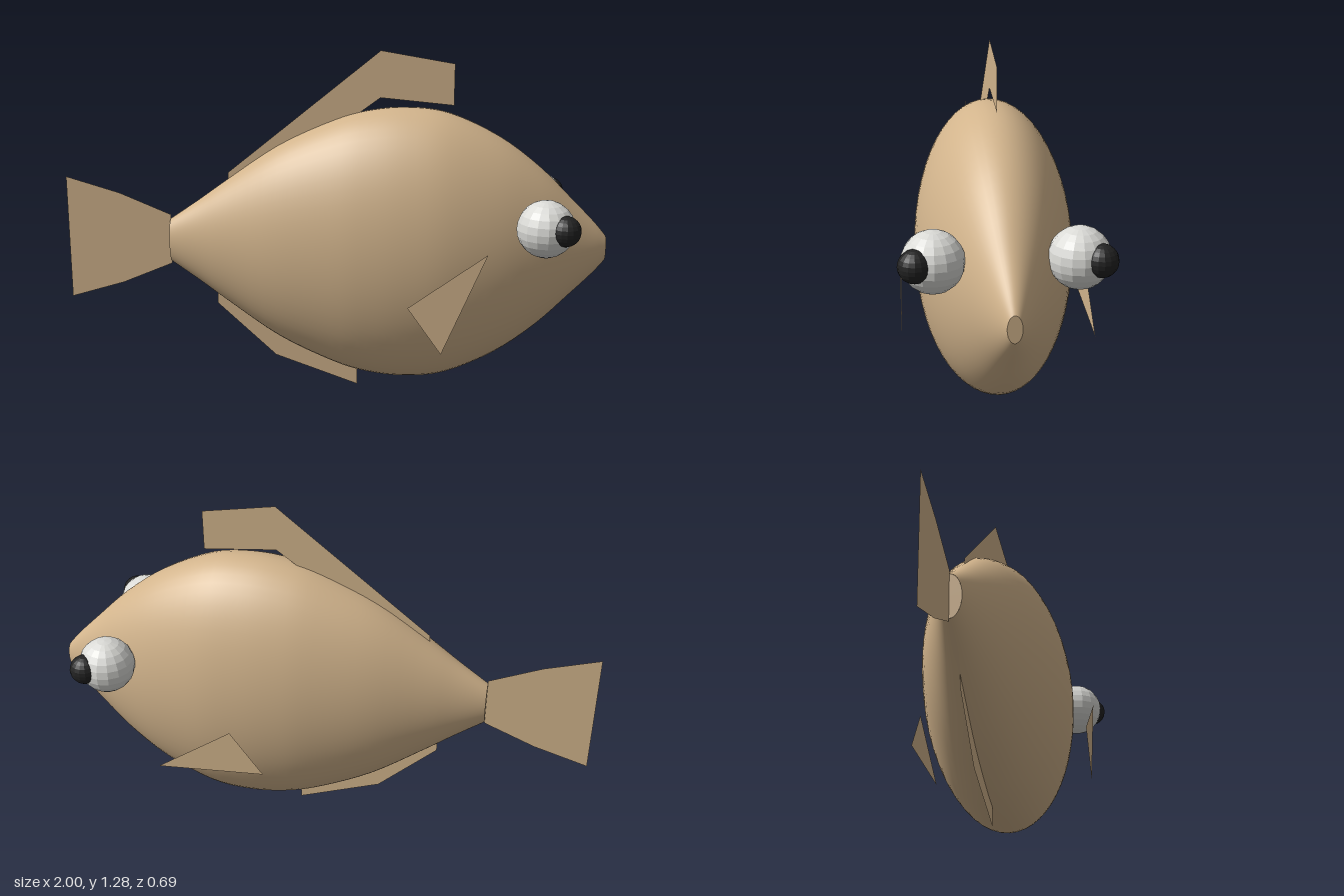
import * as THREE from 'three';

const MID_Y = 0.568;   // height of the body axis
const FLATTEN = 0.53;  // body width relative to its height

export function createModel() {
  const fish = new THREE.Group();
  fish.name = 'fish';

  const skin = new THREE.MeshStandardMaterial({ color: 0xd2b48c, side: THREE.DoubleSide });
  skin.name = 'tan skin';
  const white = new THREE.MeshStandardMaterial({ color: 0xdadad6, flatShading: true });
  white.name = 'eye white';
  const black = new THREE.MeshStandardMaterial({ color: 0x222222, flatShading: true });
  black.name = 'pupil black';

  const add = (name, geometry, material, x = 0, y = 0, z = 0) => {
    const mesh = new THREE.Mesh(geometry, material);
    mesh.name = name;
    mesh.position.set(x, y, z);
    fish.add(mesh);
    return mesh;
  };

  // Body: half-heights along x, turned around the x axis and flattened sideways
  const profile = [
    [-0.61, 0.082], [-0.5, 0.158], [-0.39, 0.238], [-0.2, 0.368], [0, 0.462],
    [0.13, 0.5], [0.27, 0.513], [0.42, 0.494], [0.6, 0.412], [0.75, 0.302],
    [0.87, 0.185], [0.95, 0.104], [0.985, 0.064], [1, 0.045],
  ].map(([x, r]) => new THREE.Vector2(r, x));
  const body = new THREE.LatheGeometry(new THREE.SplineCurve(profile).getPoints(52), 56);
  body.rotateZ(-Math.PI / 2);
  body.scale(1, 1, FLATTEN);
  add('body', body, skin, 0, MID_Y, 0);

  // Flat ends of the body
  const endCap = (name, x, radius, side) => {
    const cap = new THREE.CircleGeometry(radius, 32);
    cap.rotateY(side * Math.PI / 2);
    cap.scale(1, 1, FLATTEN);
    add(name, cap, skin, x, MID_Y, 0);
  };
  endCap('mouth', 1, 0.045, 1);
  endCap('tailRoot', -0.61, 0.082, -1);

  // Fins: flat sheets in the xy plane
  const fin = (name, points, z = 0) => {
    const shape = new THREE.Shape(points.map(([x, y]) => new THREE.Vector2(x, y)));
    return add(name, new THREE.ShapeGeometry(shape), skin, 0, 0, z);
  };
  fin('tailFin', [
    [-1, 0.335], [-0.8, 0.395], [-0.61, 0.475], [-0.61, 0.665], [-0.8, 0.745], [-1, 0.805],
  ]);
  fin('dorsalFin', [
    [-0.39, 0.78], [0, 0.99], [0.17, 1.115], [0.435, 1.09], [0.435, 1.24], [0.17, 1.285], [-0.39, 0.83],
  ]);
  fin('analFin', [
    [-0.44, 0.38], [-0.44, 0.32], [-0.22, 0.115], [0.09, 0.003], [0.09, 0.14], [-0.22, 0.26],
  ]);

  // Side fins stand clear of the body; the far one is swung further down
  fin('leftSideFin', [[0.28, 0.43], [0.4, 0.26], [0.555, 0.63]], 0.325);
  fin('rightSideFin', [[0.277, 0.53], [0.157, 0.36], [0.555, 0.335]], -0.325);

  // Eyes, mirrored across the body
  for (const [label, s] of [['near', 1], ['far', -1]]) {
    add(label + 'Eye', new THREE.SphereGeometry(0.102, 16, 12), white, 0.757, 0.7, s * 0.23);
    add(label + 'Pupil', new THREE.SphereGeometry(0.054, 16, 12), black, 0.818, 0.709, s * 0.289);
  }

  return fish;
}
